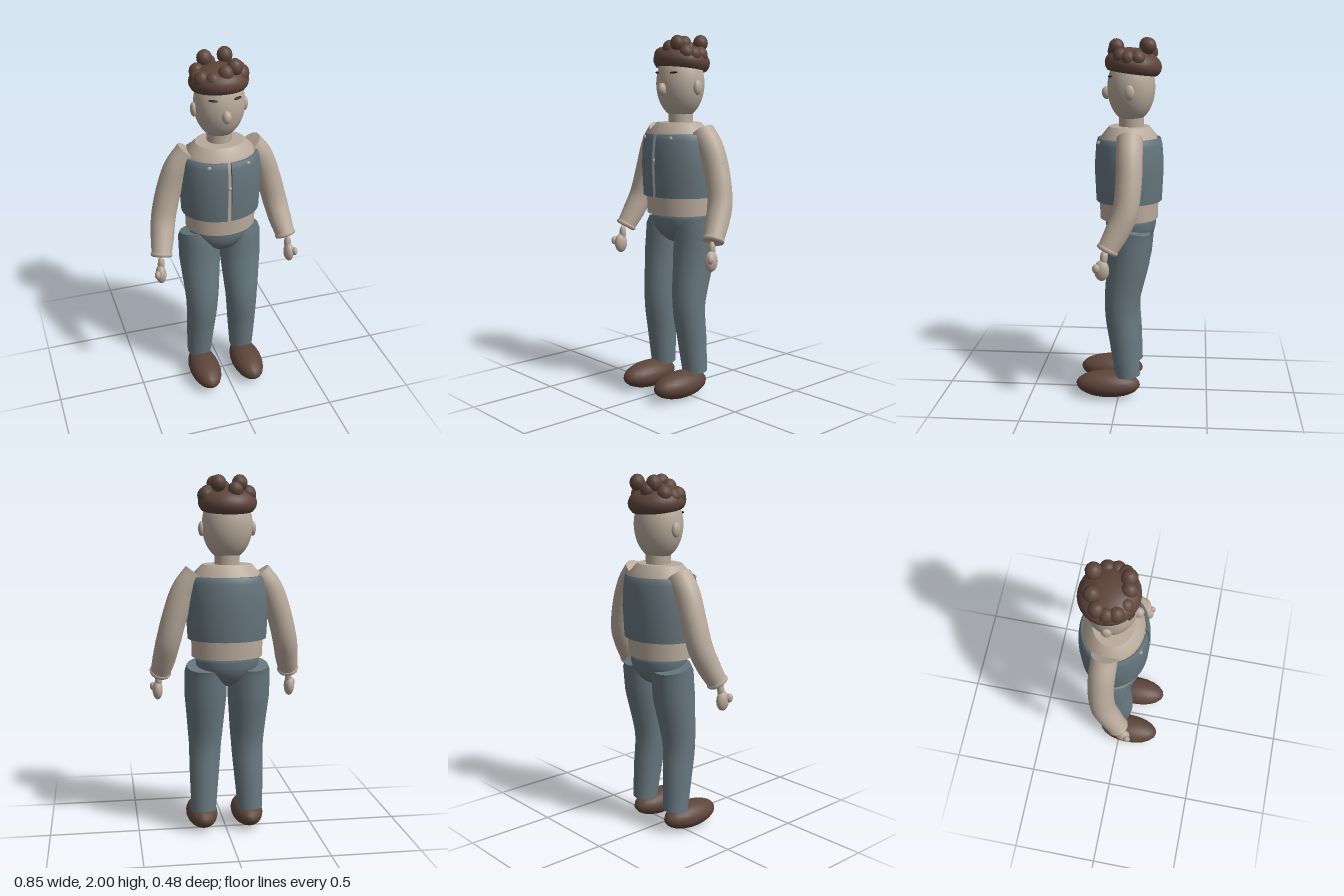
import * as THREE from 'three';

const mat = (name, color, side = THREE.FrontSide) => {
  const m = new THREE.MeshStandardMaterial({ color, side });
  m.name = name;
  return m;
};

export function createModel() {
  const model = new THREE.Group();
  const skin = mat('skin', 0xb9aa9c);
  const cloth = mat('blue cloth', 0x66767e, THREE.DoubleSide);
  const brown = mat('brown', 0x5e453b, THREE.DoubleSide);
  const dark = mat('dark brown', 0x33231e);

  const add = (name, geo, material, parent = model) => {
    const m = new THREE.Mesh(geo, material);
    m.name = name;
    parent.add(m);
    return m;
  };
  const ball = (name, material, [x, y, z], [rx, ry, rz], parent, w = 20, h = 14) => {
    const m = add(name, new THREE.SphereGeometry(1, w, h), material, parent);
    m.position.set(x, y, z);
    m.scale.set(rx, ry, rz);
    return m;
  };
  // Lathe body with an elliptical section, centred on the torso axis
  const turned = (name, profile, material, depth, z = -0.05, start = 0) => {
    const pts = profile.map(p => new THREE.Vector2(...p));
    const m = add(name, new THREE.LatheGeometry(pts, 40, start, Math.PI * 2 - 2 * start), material);
    m.scale.z = depth;
    m.position.z = z;
    return m;
  };
  // Tapered limb through [x, y, z, radius] stations, with flat ends
  const limb = (name, stations, material, parent) => {
    const group = new THREE.Group();
    group.name = name;
    parent.add(group);
    const curve = new THREE.CatmullRomCurve3(stations.map(s => new THREE.Vector3(s[0], s[1], s[2])));
    const n = 24, sides = 20;
    const radius = t => {
      const f = t * (stations.length - 1), i = Math.min(Math.floor(f), stations.length - 2);
      return THREE.MathUtils.lerp(stations[i][3], stations[i + 1][3], f - i);
    };
    const geo = new THREE.TubeGeometry(curve, n, 1, sides, false);
    const pos = geo.attributes.position, v = new THREE.Vector3();
    for (let i = 0; i <= n; i++) {
      const u = i / n, c = curve.getPointAt(u), r = radius(curve.getUtoTmapping(u));
      for (let j = 0; j <= sides; j++) {
        const k = i * (sides + 1) + j;
        v.fromBufferAttribute(pos, k).sub(c).multiplyScalar(r).add(c);
        pos.setXYZ(k, v.x, v.y, v.z);
      }
    }
    add(name + 'Tube', geo, material, group);
    for (const u of [0, 1]) {
      const cap = add(name + 'End', new THREE.CircleGeometry(radius(u), sides), material, group);
      cap.position.copy(curve.getPointAt(u));
      const dir = curve.getTangentAt(u).multiplyScalar(u ? 1 : -1);
      cap.quaternion.setFromUnitVectors(new THREE.Vector3(0, 0, 1), dir);
    }
    return curve;
  };

  // Torso and neck
  turned('torso', [[0, 1.02], [0.195, 1.02], [0.195, 1.02], [0.2, 1.2], [0.2, 1.42], [0.185, 1.475],
    [0.135, 1.525], [0.135, 1.525], [0, 1.525]], skin, 0.82);
  const neck = add('neck', new THREE.CylinderGeometry(0.068, 0.068, 0.14, 24), skin);
  neck.position.set(0, 1.55, -0.062);

  // Open-fronted vest: thin shell with closed front edges
  const vestProfile = [[0.208, 1.12], [0.217, 1.12], [0.226, 1.28], [0.224, 1.36], [0.217, 1.43],
    [0.207, 1.462], [0.195, 1.465], [0.192, 1.455], [0.208, 1.36], [0.21, 1.28], [0.208, 1.12]];
  const gap = 0.05;
  turned('vest', vestProfile, cloth, 0.835, -0.05, gap);
  for (const s of [-1, 1]) {
    const edge = new THREE.ShapeGeometry(new THREE.Shape(vestProfile.map(p => new THREE.Vector2(...p))));
    edge.rotateY(s * gap - Math.PI / 2).scale(1, 1, 0.835).translate(0, 0, -0.05);
    add('vestEdge', edge, cloth);
    ball('vestButton', skin, [s * 0.107, 1.445, 0.108], [0.012, 0.012, 0.01], model, 6, 4);
  }
  ball('vestClasp', skin, [0, 1.32, 0.133], [0.012, 0.012, 0.008], model, 6, 4);

  // Pelvis with rounded underside
  const pelvis = [];
  for (let i = 0; i <= 10; i++) {
    const a = i / 10 * Math.PI / 2;
    pelvis.push([0.175 * Math.sin(a), 1.0 - 0.15 * Math.cos(a)]);
  }
  pelvis.push([0.178, 1.03], [0, 1.03]);
  turned('pelvis', pelvis, cloth, 0.8, -0.06);

  // Head, nose and brows
  ball('head', skin, [0, 1.735, -0.06], [0.137, 0.19, 0.13], model, 32, 24);
  ball('nose', skin, [0, 1.705, 0.073], [0.025, 0.035, 0.028]);
  for (const s of [-1, 1]) {
    ball('ear', skin, [s * 0.139, 1.715, -0.06], [0.018, 0.04, 0.027]);
    const brow = ball('eyebrow', dark, [s * 0.066, 1.795, 0.05], [0.025, 0.006, 0.009], model, 12, 8);
    brow.rotation.set(0, s * 0.4, s * 0.08);
  }

  // Hair cap and ring of curls
  const cap = add('hairCap', new THREE.SphereGeometry(1, 28, 14, 0, Math.PI * 2, 0, Math.PI * 0.66), brown);
  cap.scale.set(0.158, 0.09, 0.155);
  cap.position.set(0, 1.855, -0.07);
  cap.rotation.x = -0.13;
  const curls = [[-0.055, 1.89, 0.02], [0.01, 1.925, 0.025], [0.06, 1.95, 0.015], [0.1, 1.9, -0.01],
    [0.118, 1.89, -0.05], [0.115, 1.89, -0.1], [0.06, 1.955, -0.155], [-0.03, 1.92, -0.16],
    [-0.055, 1.955, -0.14], [-0.105, 1.9, -0.11], [-0.115, 1.885, -0.06], [-0.105, 1.89, -0.015]];
  for (const c of curls) ball('hairCurl', brown, c, [0.042, 0.045, 0.042], model, 12, 8);

  // Limbs, left and right
  for (const s of [-1, 1]) {
    const arm = new THREE.Group();
    arm.name = s > 0 ? 'leftArm' : 'rightArm';
    model.add(arm);
    const path = limb('sleeve', [[s * 0.17, 1.475, -0.065, 0.07], [s * 0.235, 1.39, -0.068, 0.07],
      [s * 0.287, 1.25, -0.068, 0.069], [s * 0.325, 1.1, -0.05, 0.068],
      [s * 0.345, 1.0, -0.008, 0.064], [s * 0.365, 0.91, 0.04, 0.054]], skin, arm);
    const cuff = add('cuff', new THREE.TorusGeometry(0.047, 0.014, 8, 20), skin, arm);
    cuff.position.copy(path.getPointAt(0.985));
    cuff.quaternion.setFromUnitVectors(new THREE.Vector3(0, 0, 1), path.getTangentAt(1));
    ball('wrist', skin, [s * 0.372, 0.87, 0.055], [0.02, 0.045, 0.02], arm, 12, 8);
    ball('hand', skin, [s * 0.378, 0.81, 0.065], [0.029, 0.056, 0.04], arm);
    ball('thumb', skin, [s * 0.403, 0.825, 0.093], [0.016, 0.025, 0.02], arm, 12, 8);

    limb(s > 0 ? 'leftLeg' : 'rightLeg', [[s * 0.122, 0.975, -0.075, 0.105], [s * 0.121, 0.955, -0.07, 0.117],
      [s * 0.12, 0.8, -0.055, 0.117], [s * 0.12, 0.52, -0.017, 0.092],
      [s * 0.127, 0.32, -0.035, 0.082], [s * 0.133, 0.13, -0.053, 0.07]], cloth, model);
    ball(s > 0 ? 'leftShoe' : 'rightShoe', brown, [s * 0.132, 0.075, 0.058], [0.09, 0.075, 0.181], model, 20, 14);
  }
  return model;
}
